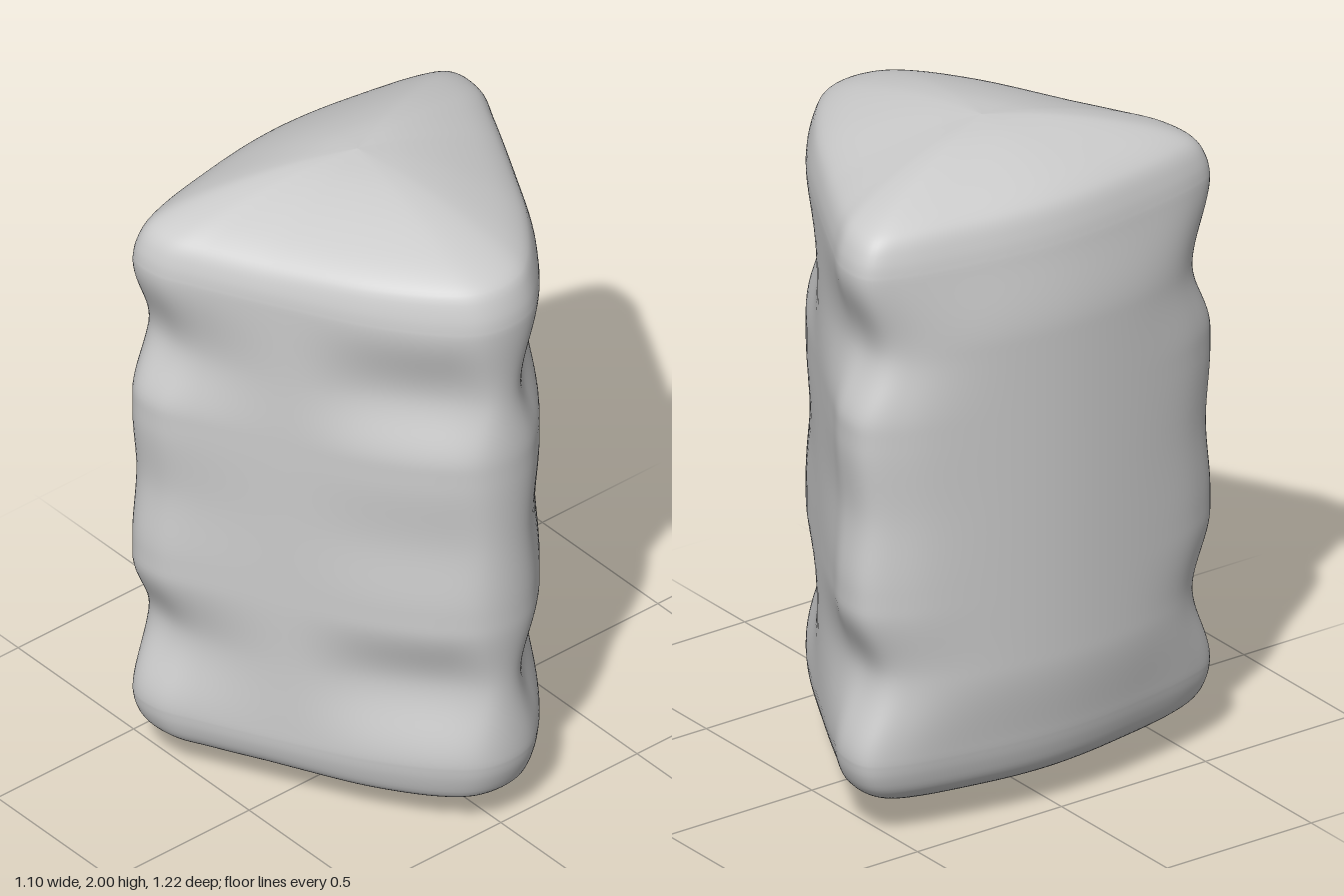
import * as THREE from 'three';

const { lerp, smoothstep } = THREE.MathUtils;
const AROUND = 144, SIDE_ROWS = 90, CAP_ROWS = 28;

// Half of the triangular section, from the +x corner round to the back:
// [x, z] where the corner bulges, then [x, z] where it is pinched
const HALF = [
  [0.547, 0, 0.53, 0], [0.53, 0.085, 0.515, 0.055], [0.47, 0.165, 0.425, 0.138],
  [0.3, 0.3, 0.27, 0.27], [0.08, 0.425, 0.08, 0.42], [-0.17, 0.555, -0.17, 0.52],
  [-0.28, 0.605, -0.29, 0.54], [-0.385, 0.6, -0.395, 0.53], [-0.46, 0.5, -0.46, 0.455],
  [-0.52, 0.29, -0.52, 0.28], [-0.55, 0, -0.55, 0],
];

function closedSection(k) {
  const half = HALF.map((p) => new THREE.Vector3(p[k], 0, p[k + 1]));
  const mirrored = half.slice(1, -1).reverse().map((p) => new THREE.Vector3(p.x, 0, -p.z));
  const curve = new THREE.CatmullRomCurve3([...half, ...mirrored], true, 'centripetal');
  return curve.getPoints(AROUND).slice(0, AROUND);
}

// Smooth interpolation through [position, value] pairs
function through(keys, t) {
  let i = 0;
  while (i < keys.length - 2 && t > keys[i + 1][0]) i++;
  const [a, va] = keys[i], [b, vb] = keys[i + 1];
  return lerp(va, vb, smoothstep(t, a, b));
}

// Bulge strength by distance from mid height
const BULGE = [[0, 0.75], [0.22, 1], [0.28, 1], [0.5, 0], [0.75, 1]];

// Dome profile: scale of the section, distance from mid height
const dome = new THREE.SplineCurve([
  [1, 0.75], [0.988, 0.795], [0.95, 0.845], [0.88, 0.88], [0.74, 0.916],
  [0.5, 0.958], [0.25, 0.987], [0, 1],
].map((p) => new THREE.Vector2(...p)));

function createBodyGeometry() {
  const bulged = closedSection(0), pinched = closedSection(2);

  // Rows from the bottom pole to the top pole: [scale, distance from mid height]
  const cap = dome.getPoints(CAP_ROWS).map((p) => [Math.max(0, p.x), p.y]);
  const rows = cap.map(([s, d]) => [s, -d]).reverse();
  for (let i = 1; i < SIDE_ROWS; i++) rows.push([1, lerp(-0.75, 0.75, i / SIDE_ROWS)]);
  rows.push(...cap);

  const positions = [], index = [];
  rows.forEach(([s, h], r) => {
    const d = Math.abs(h);
    const w = through(BULGE, Math.min(d, 0.75));
    for (let j = 0; j < AROUND; j++) {
      const p = pinched[j].clone().lerp(bulged[j], w);
      // The back leans in towards both ends
      p.x += 0.04 * smoothstep(d, 0.5, 0.85) * smoothstep(-p.x, 0.38, 0.53);
      // The +x corner of each dome is a little fuller
      const lift = 0.02 * Math.max(0, p.x / 0.55) * Math.min(1, (1 - s) / 0.05) * s;
      positions.push(-0.12 + s * (p.x + 0.12), 1 + h + Math.sign(h) * lift, s * p.z);
      if (r < rows.length - 1) {
        const a = r * AROUND + j, b = r * AROUND + (j + 1) % AROUND;
        const c = a + AROUND, e = b + AROUND;
        index.push(a, c, b, b, c, e);
      }
    }
  });

  const geometry = new THREE.BufferGeometry();
  geometry.setAttribute('position', new THREE.Float32BufferAttribute(positions, 3));
  geometry.setIndex(index);
  geometry.computeVertexNormals();
  return geometry;
}

export function createModel() {
  const group = new THREE.Group();
  group.name = 'softTriangularPrism';
  const material = new THREE.MeshStandardMaterial({ color: 0xcccccc });
  const body = new THREE.Mesh(createBodyGeometry(), material);
  body.name = 'body';
  group.add(body);
  return group;
}
